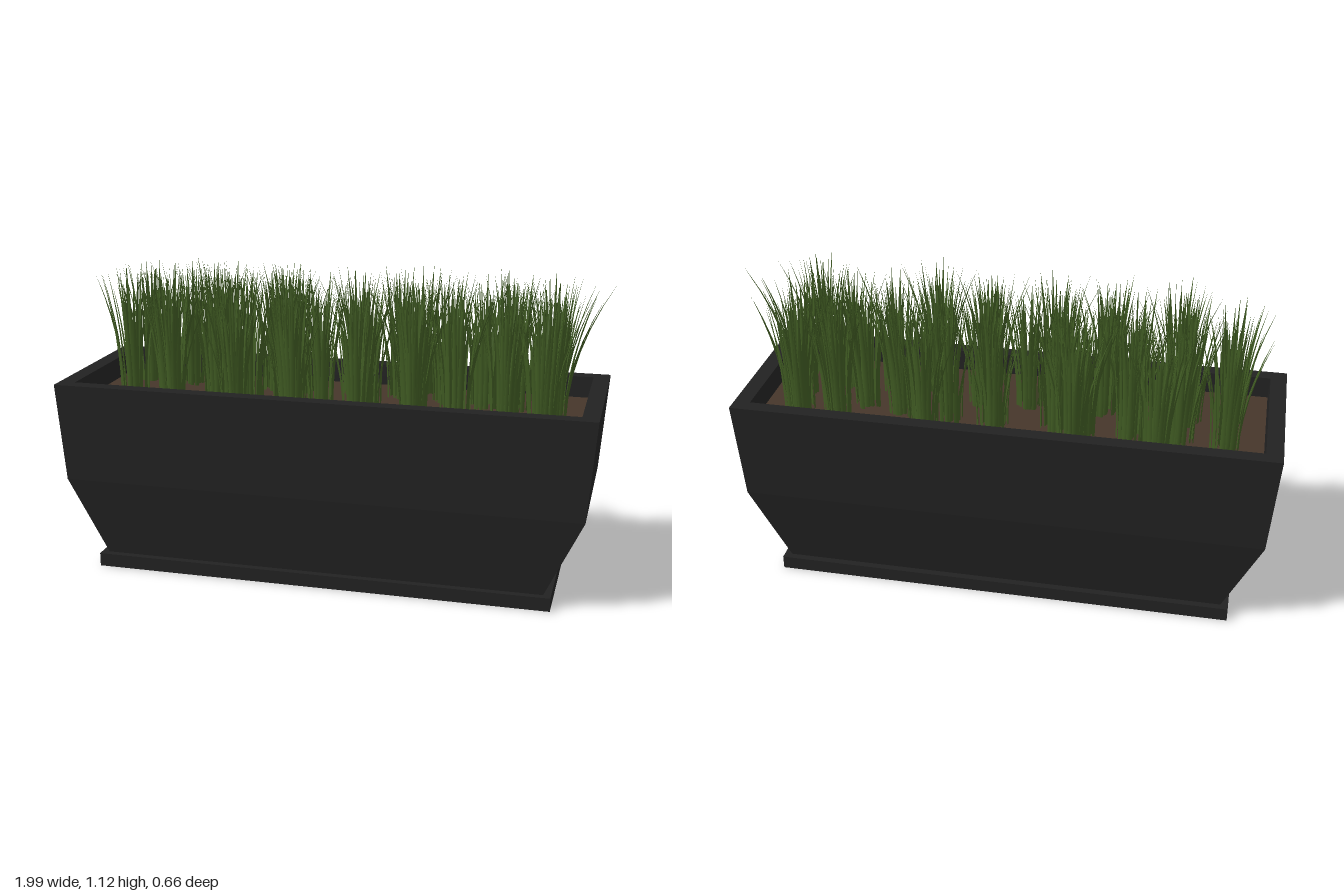
import * as THREE from 'three';
import { mergeGeometries } from 'three/addons/utils/BufferGeometryUtils.js';

const CX = -0.015; // planter centre in x
const SOIL = 0.63;

let seed = 7;
const rand = (a = 0, b = 1) => {
  seed = (seed * 16807) % 2147483647;
  return a + (b - a) * (seed / 2147483647);
};

// Rectangular shell through rings of [halfX, y, halfZ], flat faced
function rectLoft(rings) {
  const corners = [[1, 1], [1, -1], [-1, -1], [-1, 1]];
  const point = ([hx, y, hz], i) => [corners[i % 4][0] * hx, y, corners[i % 4][1] * hz];
  const pos = [];
  for (let r = 0; r < rings.length - 1; r++) {
    for (let i = 0; i < 4; i++) {
      const a = point(rings[r], i), b = point(rings[r], i + 1);
      const c = point(rings[r + 1], i + 1), d = point(rings[r + 1], i);
      pos.push(...a, ...b, ...c, ...a, ...c, ...d);
    }
  }
  const g = new THREE.BufferGeometry();
  g.setAttribute('position', new THREE.Float32BufferAttribute(pos, 3));
  g.computeVertexNormals();
  return g;
}

// Tapered, slightly folded blade that bends outward along a direction
function blade(x, z, angle, reach, height, width) {
  const SEG = 6, pos = [], idx = [];
  const dx = Math.cos(angle), dz = Math.sin(angle);
  for (let s = 0; s <= SEG; s++) {
    const t = s / SEG;
    const out = reach * t ** 2;
    const w = width * 0.5 * (s === SEG ? 0.03 : 1 - t ** 2.2);
    const y = SOIL - 0.01 + height * t;
    for (const k of [-1, 0, 1]) {
      const fold = out + (k === 0 ? w * 0.6 : 0);
      pos.push(x + dx * fold - dz * w * k, y, z + dz * fold + dx * w * k);
    }
    if (s < SEG) {
      for (const k of [0, 1]) {
        const a = s * 3 + k;
        idx.push(a, a + 3, a + 1, a + 1, a + 3, a + 4);
      }
    }
  }
  const g = new THREE.BufferGeometry();
  g.setAttribute('position', new THREE.Float32BufferAttribute(pos, 3));
  g.setIndex(idx);
  g.computeVertexNormals();
  return g;
}

// One tuft: upright core, spreading outer blades and a few long side blades
function tuft(cx, cz) {
  const blades = [];
  const add = (angle, r0, reach, height, width) => {
    const x = cx + Math.cos(angle) * r0, z = cz + Math.sin(angle) * r0;
    // keep tips inside the overall footprint
    const tipX = THREE.MathUtils.clamp(x + Math.cos(angle) * reach, -0.93, 0.93) - x;
    const tipZ = THREE.MathUtils.clamp(z + Math.sin(angle) * reach, -0.32, 0.28) - z;
    blades.push(blade(x, z, Math.atan2(tipZ, tipX), Math.hypot(tipX, tipZ), height, width));
  };
  const N = 26, turn = rand(0, 6);
  for (let i = 0; i < N; i++) {
    const outer = i % 2;
    add(turn + i * 2.4, outer ? rand(0.025, 0.055) : rand(0.005, 0.03),
      outer ? rand(0.025, 0.07) : rand(0.01, 0.045), rand(0.4, 0.495), rand(0.014, 0.021));
  }
  for (const side of [0, Math.PI]) {
    for (let i = 0; i < 2; i++) add(side + rand(-0.35, 0.35), 0.04, rand(0.06, 0.12), rand(0.42, 0.49), 0.018);
  }
  return blades;
}

export function createModel() {
  const root = new THREE.Group();
  const dark = new THREE.MeshStandardMaterial({ color: 0x222222 });
  const earth = new THREE.MeshStandardMaterial({ color: 0x46362a });
  const green = new THREE.MeshStandardMaterial({ color: 0x3f5a22, side: THREE.DoubleSide });

  const add = (name, geometry, material, x = 0, y = 0) => {
    const mesh = new THREE.Mesh(geometry, material);
    mesh.name = name;
    mesh.position.set(x, y, 0);
    root.add(mesh);
  };

  // Base plinth
  add('base', new THREE.BoxGeometry(1.7, 0.05, 0.6), dark, CX, 0.025);

  // Planter wall: flared lower part, near-upright upper part, flat rim, inner wall
  add('planterBox', rectLoft([
    [0.822, 0.05, 0.275],
    [0.957, 0.345, 0.318],
    [0.985, 0.71, 0.328],
    [0.925, 0.71, 0.275],
    [0.92, SOIL - 0.02, 0.272],
  ]), dark, CX);

  // Soil surface
  add('soil', new THREE.BoxGeometry(1.85, 0.04, 0.55), earth, CX, SOIL - 0.02);

  // Tufts of grass in loose rows: [z, x, x, ...] or [x, z] pairs
  const tufts = [
    [-0.80, -0.14], [-0.63, -0.12], [-0.56, -0.22], [-0.46, -0.12], [-0.26, -0.21], [-0.28, -0.11],
    [-0.19, -0.11], [0.04, -0.13], [0.21, -0.11], [0.28, -0.20], [0.39, -0.09], [0.53, -0.06],
    [0.61, -0.17], [0.65, -0.06], [0.77, -0.15], [0.79, 0.0], [0.62, 0.07], [0.45, 0.08],
    [0.29, 0.04], [0.31, 0.19], [0.11, 0.04], [0.10, 0.17], [-0.06, 0.05], [-0.20, 0.04],
    [-0.14, 0.17], [-0.34, 0.05], [-0.36, 0.17], [-0.46, 0.05], [-0.60, 0.17], [-0.65, 0.04],
    [-0.80, 0.05], [0.76, 0.17],
  ];
  const blades = tufts.flatMap(([x, z]) => tuft(x, z));
  // Long stray blades at the right-hand end
  blades.push(blade(0.83, 0, -0.03, 0.16, 0.495, 0.02), blade(0.83, 0.02, 0.2, 0.12, 0.44, 0.02));
  add('grass', mergeGeometries(blades), green);

  return root;
}
